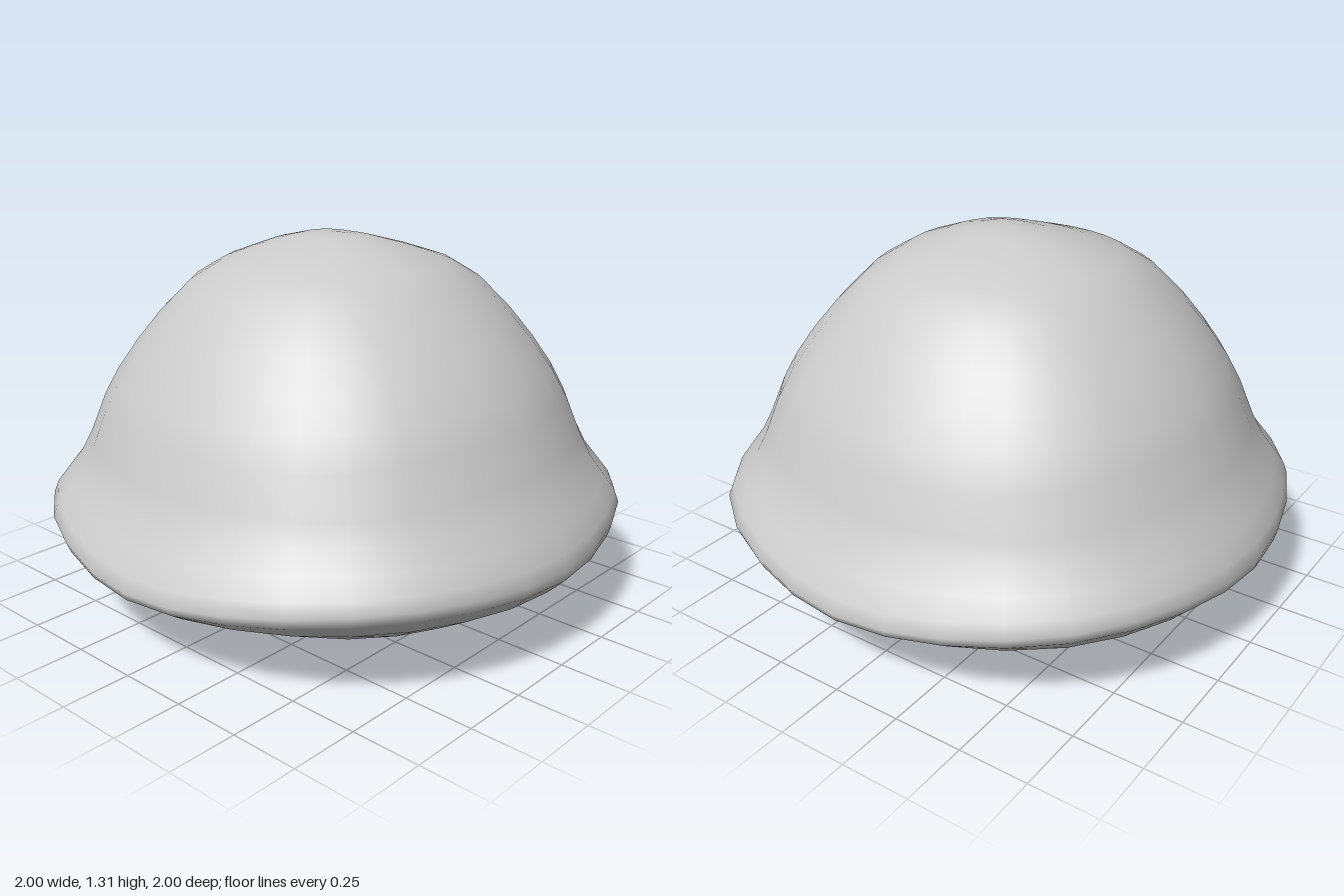
import * as THREE from 'three';
import { mergeVertices } from 'three/addons/utils/BufferGeometryUtils.js';

// Matching [radius, height] profiles, from the bottom pole to the crown
const sideProfile = [
  [0, 0], [0.17, 0.005], [0.33, 0.025], [0.58, 0.08], [0.78, 0.15], [0.93, 0.24], [0.99, 0.3],
  [1, 0.34], [0.985, 0.39], [0.95, 0.46], [0.9, 0.54], [0.86, 0.62], [0.8, 0.76], [0.75, 0.85],
  [0.68, 0.95], [0.6, 1.04], [0.48, 1.16], [0.38, 1.22], [0.25, 1.27], [0.13, 1.3], [0, 1.31],
];
const frontProfile = [
  [0, 0], [0.17, 0.005], [0.33, 0.035], [0.58, 0.095], [0.78, 0.17], [0.93, 0.23], [0.985, 0.265],
  [1, 0.295], [0.98, 0.345], [0.93, 0.42], [0.88, 0.5], [0.845, 0.58], [0.8, 0.71], [0.75, 0.81],
  [0.685, 0.91], [0.6, 1.03], [0.5, 1.14], [0.4, 1.205], [0.25, 1.255], [0.11, 1.295], [0, 1.31],
];
const SEGMENTS = 32;

// Closed dome: blends the two profiles around the axis, with squarish, slightly raised corners
function domeGeometry() {
  const rows = sideProfile.length;
  const lathe = new THREE.LatheGeometry(sideProfile.map(([r, y]) => new THREE.Vector2(r, y)), SEGMENTS);
  const pos = lathe.attributes.position;
  for (let i = 0; i <= SEGMENTS; i++) {
    const a = ((i % SEGMENTS) / SEGMENTS) * Math.PI * 2;
    const sideWeight = Math.sin(a) ** 2;
    const corner = Math.sin(2 * a) ** 2;
    for (let j = 0; j < rows; j++) {
      const r = THREE.MathUtils.lerp(frontProfile[j][0], sideProfile[j][0], sideWeight) * (1 + 0.035 * corner ** 2);
      const y = THREE.MathUtils.lerp(frontProfile[j][1], sideProfile[j][1], sideWeight);
      const lift = 0.04 * corner * r * r * Math.exp(-(((y - 0.32) / 0.15) ** 2));
      pos.setXYZ(i * rows + j, r * Math.sin(a), y + lift, r * Math.cos(a));
    }
  }
  // Weld the seam and poles for continuous smooth normals
  lathe.deleteAttribute('uv');
  lathe.deleteAttribute('normal');
  const geometry = mergeVertices(lathe, 1e-4);
  geometry.computeVertexNormals();
  return geometry;
}

export function createModel() {
  const group = new THREE.Group();
  group.name = 'roundedDome';
  const dome = new THREE.Mesh(domeGeometry(), new THREE.MeshStandardMaterial({ color: 0xcccccc }));
  dome.name = 'domeShell';
  group.add(dome);
  return group;
}
